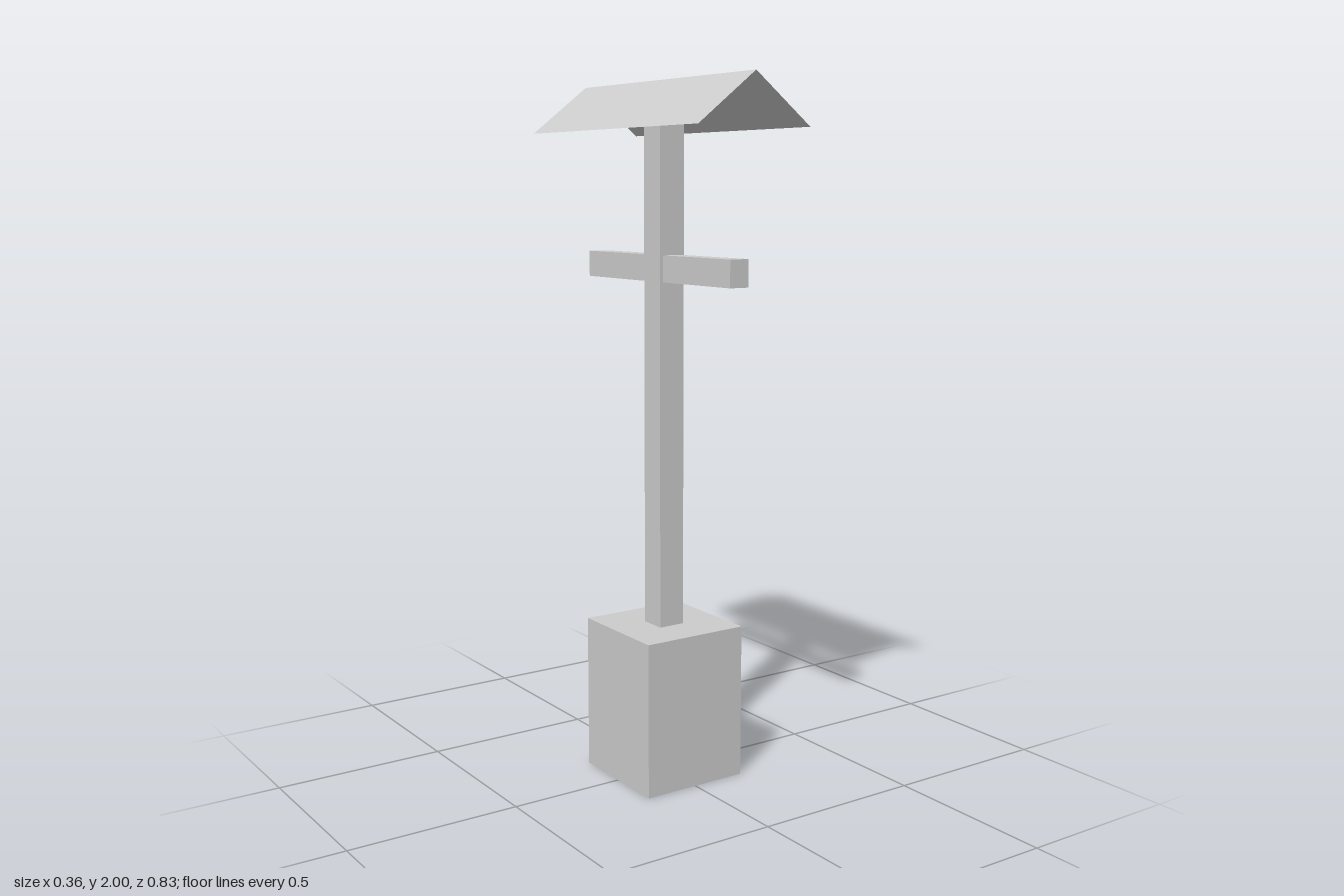
import * as THREE from 'three';

const material = new THREE.MeshStandardMaterial({ color: 0xcccccc, flatShading: true });
const thinMaterial = new THREE.MeshStandardMaterial({
  color: 0xcccccc, flatShading: true, side: THREE.DoubleSide,
});

// Box centred on the y axis, spanning bottom to top
function box(name, width, depth, bottom, top) {
  const mesh = new THREE.Mesh(new THREE.BoxGeometry(width, top - bottom, depth), material);
  mesh.name = name;
  mesh.position.y = (bottom + top) / 2;
  return mesh;
}

// Thin sheet folded along a ridge that runs front to back
function gableRoof(halfWidth, length, eaves, ridge) {
  const sheet = new THREE.PlaneGeometry(halfWidth * 2, length, 2, 1).rotateX(-Math.PI / 2);
  const pos = sheet.attributes.position;
  for (let i = 0; i < pos.count; i++) {
    pos.setY(i, ridge - (ridge - eaves) * Math.abs(pos.getX(i)) / halfWidth);
  }
  const geometry = sheet.toNonIndexed();
  geometry.computeVertexNormals();
  const mesh = new THREE.Mesh(geometry, thinMaterial);
  mesh.name = 'roof';
  return mesh;
}

export function createModel() {
  const group = new THREE.Group();
  group.name = 'roofedPost';
  group.add(
    box('base', 0.324, 0.324, 0, 0.45),
    box('post', 0.08, 0.08, 0.45, 1.927),
    box('crossbar', 0.06, 0.704, 1.445, 1.52),
    gableRoof(0.18, 0.832, 1.862, 2),
  );
  return group;
}
